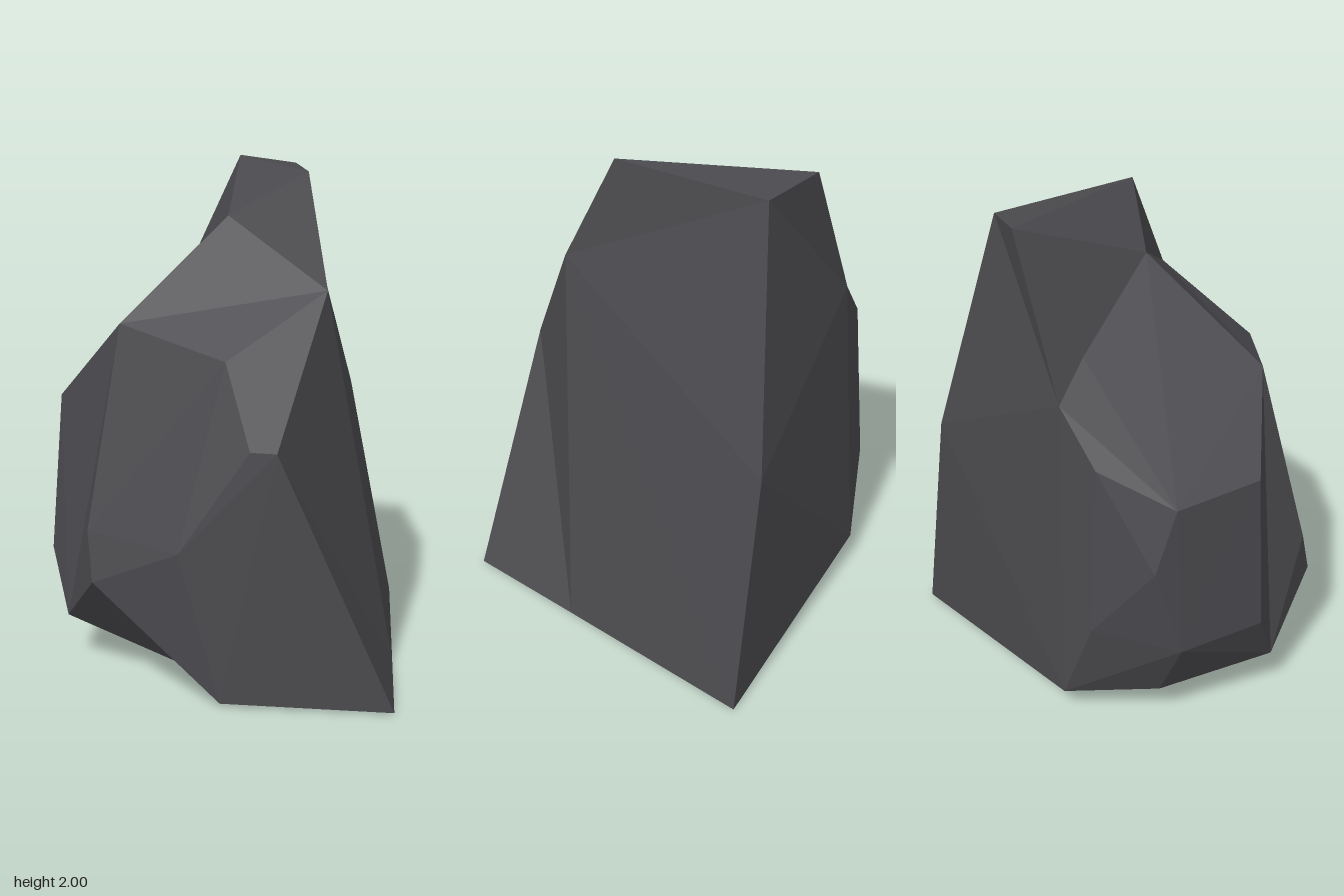
import * as THREE from 'three';
import { ConvexGeometry } from 'three/addons/geometries/ConvexGeometry.js';

const v = (x, y, z) => new THREE.Vector3(x, y, z);

export function createModel() {
  const group = new THREE.Group();
  group.name = 'rock';
  const stone = new THREE.MeshStandardMaterial({ color: 0x4a494d, flatShading: true });
  stone.name = 'dark stone';

  // corners shared between the chunks
  const topBack = v(0.25, 1.97, -0.48);
  const notch = v(0.01, 1.79, 0.04);
  const backShoulder = v(-0.27, 1.395, -0.49);
  const sideShoulder = v(0.415, 1.54, 0.355);
  const frontShoulder = v(-0.38, 1.4, 0.335);
  const brow = v(0.25, 0.99, 0.695);
  const cheek = v(-0.49, 0.62, 0.5);
  const chin = v(-0.465, 0.43, 0.555);
  const heel = v(-0.62, 0.19, 0.275);
  const baseSide = v(0.695, 0.005, 0.17);
  const baseFront = v(0.04, 0.015, 0.695);
  const baseHollow = v(-0.07, 0.025, 0.42);

  const chunk = (name, points) => {
    const mesh = new THREE.Mesh(new ConvexGeometry(points), stone);
    mesh.name = name;
    group.add(mesh);
  };

  chunk('mainBoulder', [
    topBack, notch, backShoulder, sideShoulder, frontShoulder, heel, baseSide, baseHollow,
    // right flank
    v(-0.65, 1.08, 0.16), v(-0.64, 1.05, -0.2), v(-0.65, 0.8, -0.3),
    v(-0.7, 0.44, 0.16), v(-0.69, 0.43, -0.2),
    // back
    v(-0.445, 1.19, -0.435), v(-0.47, 0.49, -0.48), v(0.5, 0.99, -0.66),
    // underside
    v(0.695, 0, -0.695), v(-0.34, 0.12, -0.54), v(-0.555, 0.157, -0.22),
  ]);

  // pointed top, meeting the boulder at a hollow edge
  chunk('peak', [
    v(0.01, 2, -0.52), v(0.33, 1.97, 0.16), topBack, notch, backShoulder, sideShoulder,
  ]);

  // broad front slab
  chunk('frontSlab', [
    frontShoulder, sideShoulder, brow, cheek, chin, baseSide, baseFront, baseHollow,
    v(0.05, 1.3, 0.565), v(0.15, 0.99, 0.68), v(-0.12, 0.59, 0.67),
  ]);

  // wedge between the slab and the right flank
  chunk('sideWedge', [frontShoulder, cheek, chin, heel, baseHollow]);

  // foot that juts out at the front corner
  chunk('cornerSpur', [brow, baseSide, baseFront, baseHollow, v(0.695, 0.005, 0.695)]);

  return group;
}
